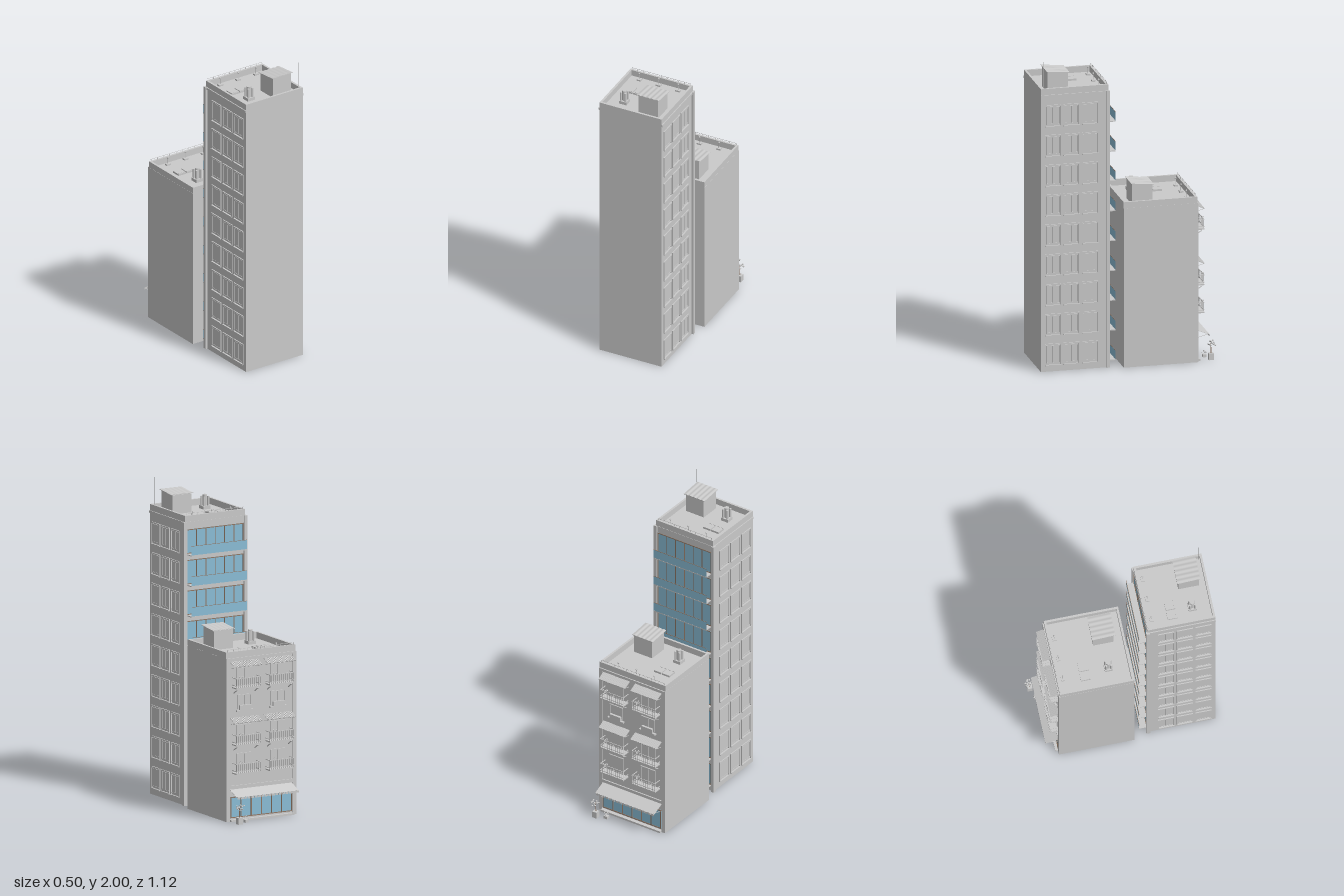
import * as THREE from 'three';

const mat = (name, color, side) => {
  const m = new THREE.MeshStandardMaterial({ color, side });
  m.name = name;
  return m;
};
const wall = mat('wall grey', 0xcacaca, THREE.DoubleSide);
const glass = mat('glass blue', 0x8bbdd6, THREE.DoubleSide);
const frame = mat('frame brown', 0x8f7664, THREE.FrontSide);

function add(parent, name, geo, material, x = 0, y = 0, z = 0) {
  const m = new THREE.Mesh(geo, material);
  m.name = name;
  m.position.set(x, y, z);
  parent.add(m);
  return m;
}

// Box given by its two extreme corners
function box(parent, name, material, x0, x1, y0, y1, z0, z1) {
  return add(parent, name, new THREE.BoxGeometry(x1 - x0, y1 - y0, z1 - z0), material,
    (x0 + x1) / 2, (y0 + y1) / 2, (z0 + z1) / 2);
}

function group(parent, name) {
  const g = new THREE.Group();
  g.name = name;
  parent.add(g);
  return g;
}

// Hollow building shell, open underneath
function shell(parent, name, hw, h, z0, z1) {
  const geo = new THREE.BoxGeometry(2 * hw, h, z1 - z0);
  geo.setIndex(Array.from(geo.index.array).filter((_, i) => i < 18 || i >= 24));
  geo.clearGroups();
  add(parent, name, geo, wall, 0, h / 2, (z0 + z1) / 2);
}

// Rectangular frame with a flat pane, in the xy plane and facing -z
function windowUnit(parent, name, x, y, w, h, z, pane, trim, mullions, deep) {
  const g = group(parent, name);
  const t = 0.005;
  box(g, 'pane', pane, x - w / 2, x + w / 2, y, y + h, z - 0.001, z + 0.002);
  for (const e of [0, h - t]) box(g, 'frameRail', trim, x - w / 2, x + w / 2, y + e, y + e + t, z - deep, z);
  for (let i = 0; i <= mullions + 1; i++) {
    const px = x - w / 2 + (w - t) * i / (mullions + 1);
    box(g, 'frameStile', trim, px, px + t, y, y + h, z - deep, z);
  }
}

// Sloping sheet running out from the wall towards -z, with struts beneath
function awning(parent, x0, x1, yTop, drop, z, depth, ribs) {
  const g = group(parent, 'awning');
  const len = Math.hypot(depth, drop);
  const tilt = group(g, 'awningSlope');
  tilt.position.set((x0 + x1) / 2, yTop - drop / 2, z - depth / 2);
  tilt.rotation.x = -Math.atan2(drop, depth);
  const w = x1 - x0;
  box(tilt, 'awningSheet', wall, -w / 2, w / 2, -0.001, 0.001, -len / 2, len / 2);
  for (let i = 0; i < ribs; i++) {
    const x = -w / 2 + w * (i + 0.25) / ribs;
    box(tilt, 'awningRib', wall, x, x + w / ribs / 2, 0.001, 0.004, -len / 2, len / 2);
  }
  for (const x of [x0 + 0.006, x1 - 0.006]) {
    const strut = box(g, 'awningStrut', wall, x - 0.0015, x + 0.0015,
      yTop - drop - 0.008, yTop - drop - 0.006, z - depth, z);
    strut.rotation.x = 0.25;
  }
}

// Deterministic clump of leaves
function plant(parent, x, y, z, r, n) {
  const g = group(parent, 'plant');
  for (let i = 0; i < n; i++) {
    const a = i * 2.4, k = r * Math.sqrt((i + 0.5) / n);
    const m = add(g, 'leaf', new THREE.IcosahedronGeometry(r * 0.28, 0), wall,
      x + Math.cos(a) * k, y + Math.sin(i * 1.7) * r * 0.5, z + Math.sin(a) * k);
    m.scale.y = 0.6;
  }
}

// Parapet and rooftop equipment; zf is the facade edge, zb the rear edge
function roof(parent, hw, y, zf, zb, hut, vent, hatch) {
  const g = group(parent, 'roof');
  const t = 0.014, top = y + 0.04;
  for (const s of [-1, 1]) {
    const x = s * (hw - t / 2);
    box(g, 'parapetSide', wall, x - t / 2, x + t / 2, y, top, zf, zb);
  }
  box(g, 'parapetBack', wall, -hw, hw, y, top, zb - t, zb);
  box(g, 'parapetFacade', wall, -hw, hw, y, top, zf, zf + t);
  // Guard rail above the facade edge
  box(g, 'guardRail', wall, -hw + 0.01, hw - 0.01, top + 0.012, top + 0.014, zf + 0.005, zf + 0.007);
  for (let i = 0; i <= 10; i++) {
    const x = (hw - 0.012) * (i / 5 - 1);
    box(g, 'guardPost', wall, x - 0.001, x + 0.001, top, top + 0.013, zf + 0.005, zf + 0.007);
  }
  // Stair hut with sloping corrugated lid
  const [hx, hz] = hut, w = 0.068, d = 0.065;
  const side = new THREE.Shape([[-d, 0], [d, 0], [d, 0.132], [-d, 0.12]].map(p => new THREE.Vector2(...p)));
  const hutGeo = new THREE.ExtrudeGeometry(side, { depth: 2 * w, bevelEnabled: false });
  hutGeo.translate(0, 0, -w).rotateY(-Math.PI / 2);
  add(g, 'stairHut', hutGeo, wall, hx, y, hz);
  const lidGeo = new THREE.BoxGeometry(0.156, 0.003, 0.146, 36, 1, 1);
  const p = lidGeo.attributes.position;
  for (let i = 0; i < p.count; i++) p.setY(i, p.getY(i) + 0.0015 * Math.cos(p.getX(i) * 2 * Math.PI / 0.031));
  lidGeo.computeVertexNormals();
  add(g, 'hutLid', lidGeo, wall, hx, y + 0.131, hz).rotation.x = -0.092;
  // Ventilation stack with a ring of pipes
  const [vx, vz] = vent;
  box(g, 'ventBase', wall, vx - 0.026, vx + 0.026, y, y + 0.02, vz - 0.026, vz + 0.026);
  add(g, 'ventPipe', new THREE.CylinderGeometry(0.015, 0.015, 0.09, 16), wall, vx, y + 0.045, vz);
  for (let i = 0; i < 4; i++) {
    const a = Math.PI / 4 + i * Math.PI / 2;
    add(g, 'smallPipe', new THREE.CylinderGeometry(0.007, 0.007, 0.08, 10), wall,
      vx + 0.022 * Math.cos(a), y + 0.04, vz + 0.022 * Math.sin(a));
  }
  // Pair of roof hatches
  for (const s of [-1, 1]) {
    const x = hatch[0] + s * 0.031, z = hatch[1];
    box(g, 'hatch', wall, x - 0.028, x + 0.028, y, y + 0.012, z - 0.031, z + 0.031);
    box(g, 'hatchTrim', wall, x - 0.026, x + 0.026, y + 0.012, y + 0.014, z + 0.022, z + 0.026);
  }
  // Small roof lamps along the facade
  for (const x of [-0.135, 0, 0.135]) {
    box(g, 'roofUnit', wall, x - 0.015, x + 0.015, y, y + 0.01, zf + 0.03, zf + 0.053);
    add(g, 'roofLampPost', new THREE.CylinderGeometry(0.0015, 0.0015, 0.05, 6), wall, x, y + 0.025, zf + 0.042);
    add(g, 'roofLamp', new THREE.SphereGeometry(0.006, 8, 6), wall, x, y + 0.05, zf + 0.042);
  }
}

function tower(parent) {
  const g = group(parent, 'tower');
  const zf = 0.135, pitch = 0.193;
  shell(g, 'towerBody', 0.215, 1.79, zf, 0.56);
  roof(g, 0.215, 1.79, 0.13, 0.56, [0.095, 0.44], [-0.105, 0.435], [-0.1, 0.3]);
  box(g, 'groundSlab', wall, -0.215, 0.215, 0.002, 0.012, zf, 0.18);
  box(g, 'facadeHeader', wall, -0.205, 0.205, 1.745, 1.79, 0.128, zf);
  for (const s of [-1, 1]) {
    const x = s * 0.216;
    box(g, 'cornerPilaster', wall, x - 0.011, x + 0.011, 0, 1.79, 0.121, 0.145);
    box(g, 'sideCornice', wall, s * 0.217 - 0.004, s * 0.217 + 0.004, 1.775, 1.79, 0.13, 0.56);
  }
  for (let f = 0; f < 9; f++) {
    const y = 0.04 + f * pitch;
    // Glazed facade and balcony
    windowUnit(g, 'glazedWall', 0, y + 0.006, 0.406, 0.153, zf - 0.004, glass, frame, 5, 0.004);
    box(g, 'balconySlab', wall, -0.2, 0.2, y - 0.003, y + 0.003, 0.08, zf);
    add(g, 'balconyGlass', new THREE.PlaneGeometry(0.4, 0.057), glass, 0, y + 0.0315, 0.0805);
    box(g, 'balconyHandrail', frame, -0.2, 0.2, y + 0.06, y + 0.062, 0.079, 0.082);
    // Three windows on each flank
    for (const s of [-1, 1]) {
      const flank = group(g, 'sideWindows');
      flank.position.set(s * 0.2165, 0, 0.365);
      flank.rotation.y = -s * Math.PI / 2;
      for (const u of [-0.118, 0, 0.118]) {
        windowUnit(flank, 'sideWindow', u, y + 0.014, 0.088, 0.115, 0, wall, wall, 1, 0.003);
        box(flank, 'windowSill', wall, u - 0.051, u + 0.051, y - 0.002, y + 0.004, -0.009, 0.003);
        box(flank, 'windowLintel', wall, u - 0.051, u + 0.051, y + 0.132, y + 0.14, -0.005, 0.003);
        for (const e of [-1, 1])
          box(flank, 'windowJamb', wall, u + e * 0.048 - 0.003, u + e * 0.048 + 0.003, y + 0.004, y + 0.132, -0.005, 0.003);
      }
    }
  }
  add(g, 'antenna', new THREE.CylinderGeometry(0.001, 0.001, 0.21, 6), wall, 0.195, 1.895, 0.54);
}

function balcony(parent, x, y, z) {
  const g = group(parent, 'balcony');
  const w = 0.088, d = 0.055;
  box(g, 'balconyFloor', wall, x - w, x + w, y - 0.008, y, z - d, z);
  for (const h of [0.01, 0.056]) {
    box(g, 'railFront', wall, x - w, x + w, y + h, y + h + 0.004, z - d, z - d + 0.004);
    for (const s of [-1, 1]) {
      const sx = x + s * (w - 0.002);
      box(g, 'railSide', wall, sx - 0.002, sx + 0.002, y + h, y + h + 0.004, z - d, z);
    }
  }
  for (let i = 0; i <= 12; i++) {
    const px = x - w + 0.002 + (2 * w - 0.004) * i / 12;
    box(g, 'baluster', wall, px - 0.0012, px + 0.0012, y, y + 0.058, z - d + 0.001, z - d + 0.003);
  }
  plant(g, x + 0.05, y + 0.062, z - d + 0.008, 0.016, 8);
}

function house(parent) {
  const g = group(parent, 'house');
  const zf = -0.43;
  shell(g, 'houseBody', 0.25, 1.03, zf, 0.04);
  roof(g, 0.249, 1.03, -0.43, 0.04, [0.11, -0.095], [-0.118, -0.098], [-0.115, -0.25]);
  box(g, 'groundSlab', wall, -0.248, 0.248, 0.002, 0.012, zf, -0.17);
  for (const s of [-1, 1]) box(g, 'cornerPilaster', wall, s * 0.238 - 0.012, s * 0.238 + 0.012, 0, 1.03, -0.437, zf);
  box(g, 'cornice', wall, -0.25, 0.25, 1.015, 1.03, -0.437, zf);
  box(g, 'shopCornice', wall, -0.225, 0.225, 0.205, 0.225, -0.438, zf);

  // Upper storeys: two bays each
  for (const x of [-0.12, 0.12]) {
    for (const y of [0.31, 0.49, 0.85]) {
      balcony(g, x, y, zf);
      windowUnit(g, 'balconyDoor', x, y + 0.002, 0.11, 0.115, zf - 0.002, wall, wall, 1, 0.005);
    }
    windowUnit(g, 'window', x, 0.705, 0.1, 0.09, zf - 0.002, wall, wall, 1, 0.005);
    box(g, 'windowSill', wall, x - 0.06, x + 0.06, 0.69, 0.7, -0.447, zf);
    box(g, 'flowerBox', wall, x - 0.04, x + 0.04, 0.7, 0.73, -0.45, -0.435);
    for (const y of [1.005, 0.65]) awning(g, x - 0.1, x + 0.1, y, 0.025, zf, 0.053, 18);
    // Sloping brackets below balconies
    for (const y of [0.842, 0.482]) for (const s of [-1, 1]) {
      const b = box(g, 'bracket', wall, x + s * 0.075 - 0.003, x + s * 0.075 + 0.003, y - 0.022, y - 0.018, -0.475, zf);
      b.rotation.x = 0.55;
    }
  }

  // Shop front
  windowUnit(g, 'shopWindow', 0, 0.022, 0.44, 0.133, zf - 0.003, glass, frame, 5, 0.005);
  box(g, 'shopStep', wall, -0.225, 0.225, 0, 0.012, -0.455, zf);
  awning(g, -0.222, 0.222, 0.2, 0.035, zf, 0.085, 0);
  for (let i = 0; i < 18; i++) {
    const x = -0.222 + i * 0.444 / 18;
    box(g, 'awningValance', wall, x, x + 0.02, 0.153, 0.165, -0.516, -0.514);
  }

  // Potted tree and low shrub by the entrance
  box(g, 'planter', wall, 0.195, 0.227, 0, 0.042, -0.542, -0.51);
  add(g, 'treeTrunk', new THREE.CylinderGeometry(0.002, 0.003, 0.07, 6), frame, 0.21, 0.07, -0.526);
  plant(g, 0.21, 0.105, -0.532, 0.026, 14);
  box(g, 'shrubPot', wall, 0.135, 0.16, 0, 0.018, -0.512, -0.488);
  plant(g, 0.148, 0.032, -0.5, 0.016, 9);
}

export function createModel() {
  const model = new THREE.Group();
  model.name = 'cityBuildings';
  tower(model);
  house(model);
  return model;
}
